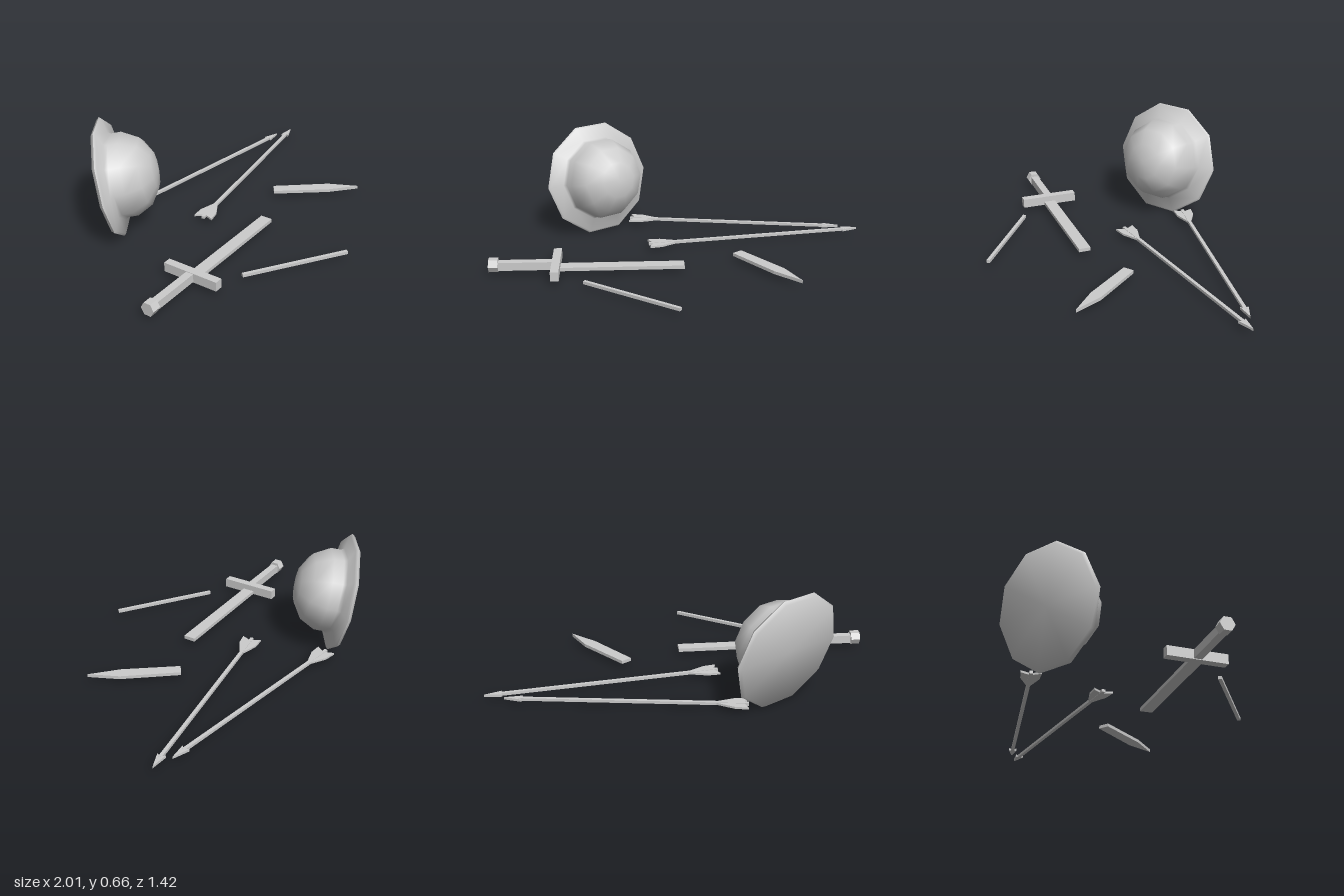
import * as THREE from 'three';
import { toCreasedNormals } from 'three/addons/utils/BufferGeometryUtils.js';

const steel = new THREE.MeshStandardMaterial({ color: 0xcccccc });
steel.name = 'pale grey';

function part(name, geometry) {
  const mesh = new THREE.Mesh(geometry, steel);
  mesh.name = name;
  return mesh;
}

// Flat plate lying on the ground plane, outline given as [x, z]
function plate(name, outline, y0, y1) {
  const shape = new THREE.Shape(outline.map(([x, z]) => new THREE.Vector2(x, -z)));
  const g = new THREE.ExtrudeGeometry(shape, { depth: y1 - y0, bevelEnabled: false });
  g.rotateX(-Math.PI / 2).translate(0, y0, 0);
  return part(name, g);
}

// Group whose local +x runs from one ground point towards another
function along(name, from, to) {
  const group = new THREE.Group();
  group.name = name;
  group.position.set(from[0], 0, from[1]);
  group.rotation.y = -Math.atan2(to[1] - from[1], to[0] - from[0]);
  return group;
}

function box(name, x0, x1, y0, y1, width) {
  const g = new THREE.BoxGeometry(x1 - x0, y1 - y0, width);
  g.translate((x0 + x1) / 2, (y0 + y1) / 2, 0);
  return part(name, g);
}

// Ten-sided brimmed helmet tipped onto its rim
function helmet() {
  const profile = [
    [0, -0.022], [0.34, -0.022], [0.355, -0.004], [0.345, 0.008], [0.262, 0.025],
    [0.25, 0.045], [0.25, 0.105], [0.2, 0.2], [0.11, 0.257], [0, 0.275],
  ].map(([r, y]) => new THREE.Vector2(r, y));
  const g = new THREE.LatheGeometry(profile, 10, Math.PI / 10);
  const mesh = part('helmet', toCreasedNormals(g, 1.2));
  const side = new THREE.Vector3(0.639, 0, -0.769).normalize();
  const axis = new THREE.Vector3(0.753, 0.205, 0.626).normalize();
  const basis = new THREE.Matrix4().makeBasis(side, axis, side.clone().cross(axis));
  mesh.quaternion.setFromRotationMatrix(basis);
  mesh.position.set(-0.63, 0.335, -0.41);
  return mesh;
}

// Broken sword: pommel, grip, crossguard and blunt blade
function sword() {
  const group = along('sword', [-0.99, 0.475], [0.083, 0.135]);
  const pommel = new THREE.CylinderGeometry(0.042, 0.042, 0.055, 6);
  pommel.rotateZ(-Math.PI / 2).translate(0.025, 0.065, 0);
  group.add(
    part('pommel', toCreasedNormals(pommel, 0.5)),
    box('grip', 0.05, 0.37, 0.036, 0.085, 0.046),
    box('crossguard', 0.36, 0.408, 0.032, 0.088, 0.345),
    box('blade', 0.4, 1.125, 0.032, 0.053, 0.072),
  );
  return group;
}

// Arrow: shaft, pointed head and flared fletching
function arrow(tail, tip) {
  const group = along('arrow', tail, tip);
  const n = Math.hypot(tip[0] - tail[0], tip[1] - tail[1]);
  group.add(
    box('shaft', 0, n - 0.08, 0.034, 0.05, 0.02),
    plate('arrowhead', [[n, 0], [n - 0.1, 0.024], [n - 0.085, 0], [n - 0.1, -0.024]], 0.035, 0.049),
    plate('fletching', [[0.2, 0], [0.075, 0.052], [0, 0.057], [0.03, 0],
      [0, -0.057], [0.075, -0.052]], 0.036, 0.048),
  );
  return group;
}

export function createModel() {
  const model = new THREE.Group();
  model.name = 'battlefieldRemains';
  model.add(
    helmet(),
    sword(),
    arrow([-0.205, -0.113], [1, -0.7]),
    arrow([-0.445, -0.5], [0.88, -0.706]),
  );

  // Snapped blade tip
  model.add(plate('bladeTip', [[0.365, -0.135], [0.325, -0.082], [0.605, 0.113],
    [0.78, 0.195], [0.655, 0.058]], 0.033, 0.052));

  // Broken arrow shaft
  const stick = along('brokenShaft', [-0.4, 0.508], [0.206, 0.694]);
  stick.add(box('stick', 0, 0.634, 0.033, 0.051, 0.02));
  model.add(stick);
  return model;
}
